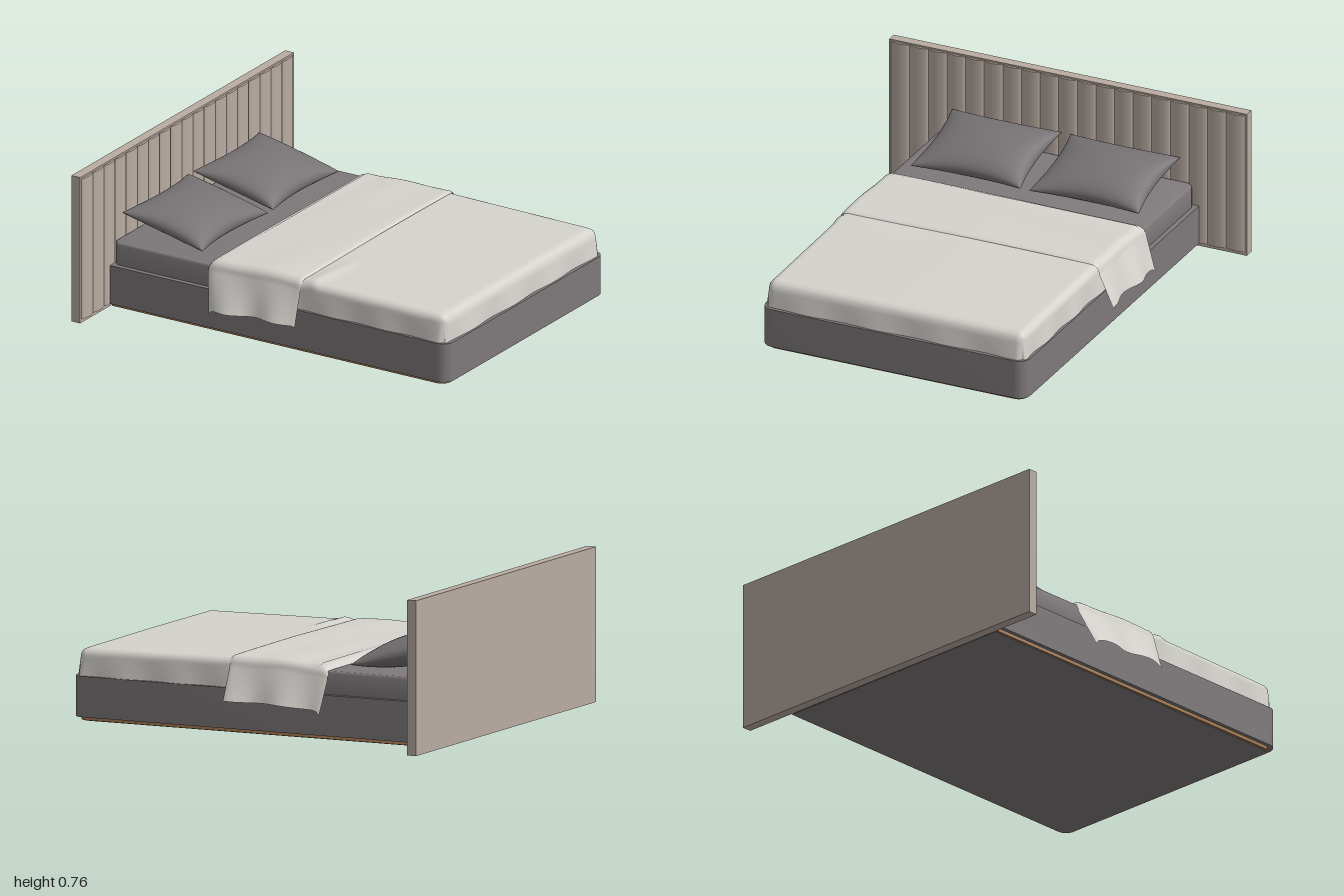
import * as THREE from 'three';
import { toCreasedNormals } from 'three/addons/utils/BufferGeometryUtils.js';

const material = (name, color, side = THREE.FrontSide) => {
  const m = new THREE.MeshStandardMaterial({ color, side });
  m.name = name;
  return m;
};

// Smooth surface from a rule f(u, v) -> [x, y, z], u and v in 0..1, facing up when u = x and v = z
function surface(nu, nv, f) {
  const pos = [], index = [];
  for (let i = 0; i <= nu; i++)
    for (let j = 0; j <= nv; j++) {
      pos.push(...f(i / nu, j / nv));
      if (i < nu && j < nv) {
        const a = i * (nv + 1) + j, c = a + nv + 1;
        index.push(a, a + 1, c, a + 1, c + 1, c);
      }
    }
  const g = new THREE.BufferGeometry();
  g.setAttribute('position', new THREE.Float32BufferAttribute(pos, 3));
  g.setIndex(index);
  g.computeVertexNormals();
  return g;
}

// Horizontal slab with separate corner radii at head and foot
function slab(x0, x1, hz, rHead, rFoot, y0, y1, bevel = 0) {
  const b = bevel, s = new THREE.Shape();
  x0 += b; x1 -= b; hz -= b;
  s.moveTo(x0 + rHead, -hz);
  s.lineTo(x1 - rFoot, -hz);
  s.absarc(x1 - rFoot, -hz + rFoot, rFoot, -Math.PI / 2, 0);
  s.absarc(x1 - rFoot, hz - rFoot, rFoot, 0, Math.PI / 2);
  s.absarc(x0 + rHead, hz - rHead, rHead, Math.PI / 2, Math.PI);
  s.absarc(x0 + rHead, -hz + rHead, rHead, Math.PI, Math.PI * 1.5);
  const g = new THREE.ExtrudeGeometry(s, {
    depth: y1 - y0 - 2 * b, bevelEnabled: b > 0, bevelSize: b, bevelThickness: b, bevelSegments: 3, curveSegments: 8,
  });
  g.rotateX(-Math.PI / 2).translate(0, y0 + b, 0);
  return toCreasedNormals(g, 0.6);
}

// Cloth laid over a core rectangle; the part beyond the core bends down with radius r and flares out
function cloth({ x0, x1, foot, hz, r, side, flare, top, wave, shift }) {
  const arc = r * Math.PI / 2;
  return surface(64, 150, (u, v) => {
    const s = x0 + u * (x1 + foot - x0), t = (v * 2 - 1) * (hz + side);
    const ox = Math.max(0, s - x1), oz = Math.max(0, Math.abs(t) - hz), sign = Math.sign(t);
    const cx = Math.min(s, x1), cz = THREE.MathUtils.clamp(t, -hz, hz);
    const over = Math.max(ox, oz), len = Math.hypot(ox, oz) || 1;
    const hang = Math.max(0, over - arc), bend = Math.min(over, arc) / r;
    let out = r * Math.sin(bend) + hang * flare;
    out += hang * wave * Math.sin((oz > ox ? s * 21 + sign : t * 17));
    const down = r * (1 - Math.cos(bend)) + hang;
    const move = shift ? shift(u, sign, hang) : [0, 0, 0];
    return [cx + ox / len * out + move[0], top(cx, cz) - down + move[1], cz + sign * oz / len * out + sign * move[2]];
  });
}

// Plump cushion with pinched corners and hollow sides
function cushionHalf(hx, hz, thick, up) {
  return surface(32, 36, (a, b) => {
    const u = Math.sin((a - 0.5) * Math.PI), v = Math.sin((b - 0.5) * Math.PI) * up;
    const h = thick * Math.pow(Math.max(0, (1 - u * u) * (1 - v * v)), 0.45);
    return [u * hx * (1 - 0.13 * (1 - v * v)), up * h, v * hz * (1 - 0.09 * (1 - u * u))];
  });
}

export function createModel() {
  const group = new THREE.Group();
  group.name = 'bed';
  const beige = material('beige upholstery', 0xb9aca2);
  const grey = material('grey fabric', 0x7e797b);
  const pillowGrey = material('pillow grey', 0x767274);
  const linen = material('pale linen', 0xd5d3cd, THREE.DoubleSide);
  const bronze = material('bronze', 0xa87c52);
  const add = (name, geometry, mat, parent = group) => {
    const m = new THREE.Mesh(geometry, mat);
    m.name = name;
    parent.add(m);
    return m;
  };

  // Headboard panel with vertical padded channels
  const headboard = new THREE.Group();
  headboard.name = 'headboard';
  group.add(headboard);
  add('headboardPanel', new THREE.BoxGeometry(0.05, 0.76, 1.92), beige, headboard).position.set(-0.975, 0.38, 0);
  const channels = 19, pitch = 1.9 / channels;
  const channel = new THREE.CylinderGeometry(1, 1, 0.732, 14, 1, false, 0, Math.PI);
  channel.scale(0.014, 1, pitch / 2);
  for (let i = 0; i < channels; i++)
    add('headboardChannel', channel, beige, headboard).position.set(-0.951, 0.385, (i - (channels - 1) / 2) * pitch);

  // Plinth, underside plate, base and mattress
  add('plinth', slab(-0.945, 0.97, 0.69, 0.01, 0.05, 0.003, 0.022), bronze);
  add('underside', slab(-0.945, 0.96, 0.68, 0.01, 0.045, 0, 0.003), grey);
  add('base', slab(-0.945, 0.995, 0.71, 0.005, 0.06, 0.02, 0.22), grey);
  add('mattress', slab(-0.94, 0.95, 0.685, 0.03, 0.04, 0.2, 0.335, 0.012), grey);

  // Duvet tucked inside the base
  add('duvet', cloth({
    x0: -0.34, x1: 0.93, foot: 0.185, hz: 0.65, r: 0.04, side: 0.185, flare: 0.1, wave: 0.05,
    top: (x, z) => 0.369 - 0.012 * Math.max(0, x) - 0.004 * Math.abs(z)
      + 0.012 * Math.exp(-(((x - 0.23 + 0.08 * (z - 0.3)) / 0.03) ** 2)) * THREE.MathUtils.smoothstep(z, 0.2, 0.6),
  }), linen);

  // Folded top sheet hanging over both sides
  add('foldedSheet', cloth({
    x0: -0.385, x1: 0.145, foot: 0, hz: 0.652, r: 0.045, side: 0.25, flare: 0.36, wave: 0.08,
    top: (x, z) => 0.379 - 0.005 * Math.abs(z) + 0.002 * Math.sin(x * 18 + z * 3)
      - 0.012 * THREE.MathUtils.smoothstep(-x, 0.05, 0.36)
      - 0.026 * Math.exp(-(x + 0.385) / 0.015) - 0.009 * Math.exp(-(0.145 - x) / 0.006),
    shift: (u, sign, hang) => [(1 - u) * hang * (sign > 0 ? 0.28 : 0.1), sign < 0 ? hang * 0.06 : 0, hang * (sign > 0 ? 0.1 : -0.02) * (1 - u)],
  }), linen);

  // Pair of pillows leaning toward the headboard
  for (const side of [1, -1]) {
    const pillow = new THREE.Group();
    pillow.name = side > 0 ? 'leftPillow' : 'rightPillow';
    add('pillowTop', cushionHalf(0.235, 0.295, 0.084, 1), pillowGrey, pillow);
    add('pillowBottom', cushionHalf(0.235, 0.295, 0.07, -1), pillowGrey, pillow);
    pillow.position.set(-0.7, 0.413, side * 0.318);
    pillow.rotation.z = -0.22;
    group.add(pillow);
  }
  return group;
}
